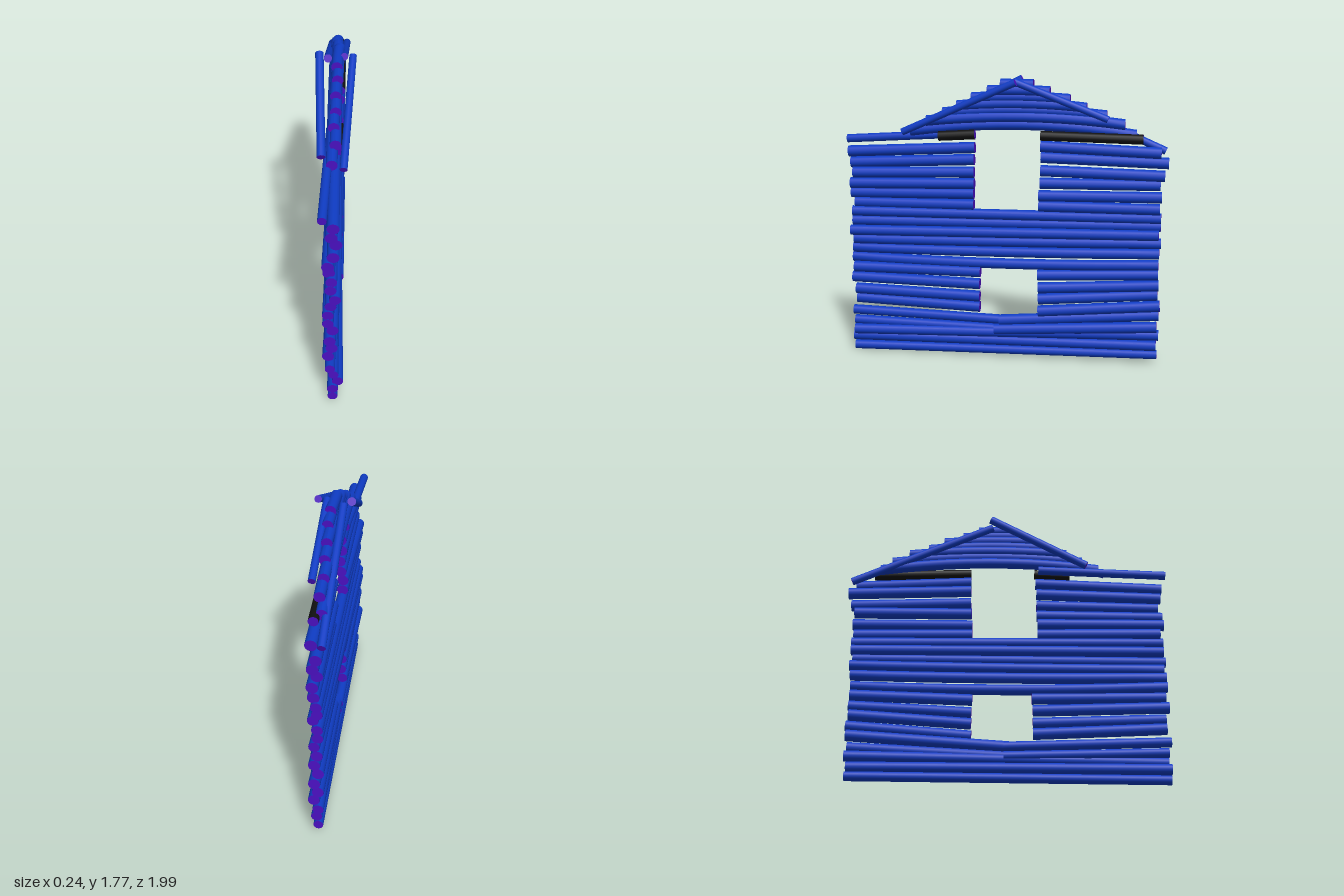
import * as THREE from 'three';

const blue = new THREE.MeshStandardMaterial({ color: 0x0f3cc4 });
const purple = new THREE.MeshStandardMaterial({ color: 0x4a10c0 });
const black = new THREE.MeshStandardMaterial({ color: 0x101010 });

// A log between two points; arch lifts its middle above the straight line.
function log(name, a, b, r = 0.033, arch = 0, bark = blue) {
  const from = new THREE.Vector3(...a), to = new THREE.Vector3(...b);
  const dir = to.clone().sub(from), length = dir.length();
  const geo = new THREE.CylinderGeometry(r, r, length, 14, arch ? 10 : 1);
  geo.applyQuaternion(new THREE.Quaternion().setFromUnitVectors(new THREE.Vector3(0, 1, 0), dir.normalize()));
  geo.translate(...from.add(to).multiplyScalar(0.5).toArray());
  if (arch) {
    const p = geo.attributes.position;
    const mid = (a[2] + b[2]) / 2, half = (a[2] - b[2]) / 2;
    for (let i = 0; i < p.count; i++) {
      const t = (p.getZ(i) - mid) / half;
      p.setY(i, p.getY(i) + arch * (1 - t * t));
    }
    geo.computeVertexNormals();
  }
  const mesh = new THREE.Mesh(geo, [bark, purple, purple]);
  mesh.name = name;
  return mesh;
}

export function createModel() {
  const model = new THREE.Group();
  model.name = 'logWall';
  const section = (name) => {
    const g = new THREE.Group();
    g.name = name;
    model.add(g);
    return g;
  };

  // Full-length logs: front-end y, back-end y, front x, back x, arch
  const full = [
    [0.03, 0.055, -0.015, 0, 0], [0.095, 0.115, -0.015, 0.01, 0], [0.145, 0.18, 0.015, 0, 0],
    [0.61, 0.635, -0.04, 0.02, -0.02], [0.67, 0.70, -0.04, 0, -0.01], [0.73, 0.765, -0.025, 0, -0.005],
    [0.79, 0.82, 0, 0.025, 0], [0.85, 0.87, -0.025, 0, 0], [0.91, 0.92, -0.02, 0.005, 0],
  ];
  const beams = section('fullLogs');
  full.forEach(([y0, y1, x0, x1, arch], i) => {
    const s = 0.008 * Math.sin(i * 2.3);
    beams.add(log('fullLog', [x0, y0, 0.965 + s], [x1, y1, -0.955 + s], i === 0 ? 0.029 : 0.033, arch));
  });

  // Split logs in front of the openings: outer y, inner y, outer x, inner z
  const frontLogs = [
    [0.2, 0.18, -0.01, -0.02], [0.26, 0.237, -0.03, -0.02],
    [0.34, 0.315, -0.04, 0.155], [0.405, 0.385, -0.02, 0.155], [0.48, 0.465, -0.03, 0.155], [0.55, 0.545, -0.015, 0.15],
    [0.965, 0.97, -0.035, 0.19], [1.025, 1.04, -0.04, 0.19], [1.09, 1.105, -0.01, 0.185],
    [1.16, 1.178, 0.005, 0.185], [1.22, 1.255, -0.02, 0.185], [1.29, 1.33, -0.01, 0.18],
  ];
  const front = section('frontSplitLogs');
  frontLogs.forEach(([y0, y1, x, z], i) =>
    front.add(log('frontLog', [x, y0, 0.96 + 0.015 * Math.sin(i * 1.9)], [x * 0.4, y1, z], i < 2 ? 0.03 : 0.035)));

  // Split logs behind the openings: inner y, outer y, outer x, inner z, outer z
  const backLogs = [
    [0.18, 0.24, 0.025, 0.06, -0.95], [0.237, 0.31, 0, 0.03, -0.96],
    [0.31, 0.375, 0.02, -0.215, -0.965], [0.385, 0.44, 0, -0.215, -0.95], [0.46, 0.505, 0.02, -0.215, -0.955],
    [0.54, 0.57, 0.005, -0.21, -0.95],
    [0.98, 0.98, 0.02, -0.215, -0.95], [1.045, 1.055, 0.025, -0.215, -0.96], [1.12, 1.125, 0, -0.22, -0.95],
    [1.2, 1.185, 0.02, -0.225, -0.975], [1.28, 1.26, 0, -0.225, -0.995], [1.35, 1.325, 0.03, -0.225, -0.95],
  ];
  const back = section('backSplitLogs');
  for (const [y0, y1, x, z0, z1] of backLogs)
    back.add(log('backLog', [x * 0.6, y0, z0], [x, y1, z1], 0.035));

  // Top wall plates beside the upper opening
  const plates = section('wallPlates');
  plates.add(
    log('frontEaveLog', [-0.068, 1.36, 0.995], [-0.03, 1.415, 0.2], 0.026),
    log('frontDarkLog', [0.02, 1.4, 0.4], [0.025, 1.415, 0.175], 0.03, 0, black),
    log('backDarkLog', [0.025, 1.415, -0.225], [0.03, 1.405, -0.84], 0.03, 0, black),
  );

  // Arched gable logs, stepping in towards the ridge: y, front z, back z, arch, x
  const gableLogs = [
    [1.425, 0.58, -0.8, 0.05, -0.02], [1.49, 0.48, -0.73, 0.035, 0], [1.54, 0.38, -0.62, 0.025, -0.01],
    [1.585, 0.29, -0.5, 0.02, 0], [1.635, 0.2, -0.4, 0.01, 0], [1.68, 0.1, -0.28, 0.005, 0.01],
    [1.72, 0.02, -0.18, 0, 0.005],
  ];
  const gable = section('gable');
  for (const [y, z0, z1, arch, x] of gableLogs)
    gable.add(log('gableLog', [x, y, z0], [x + 0.01, y, z1], 0.033, arch));

  // Sloping rafters clasping both sides of the gable
  const rafters = section('rafters');
  rafters.add(
    log('rightFrontRafter', [0.045, 1.425, 0.62], [0.098, 1.74, -0.08], 0.022),
    log('rightBackRafter', [0.048, 1.738, -0.07], [0.065, 1.525, -0.63], 0.022),
    log('leftFrontRafter', [-0.08, 1.425, 0.5], [-0.097, 1.745, -0.1], 0.025),
    log('leftBackRafter', [-0.048, 1.715, -0.09], [-0.03, 1.33, -0.975], 0.024),
  );
  return model;
}
